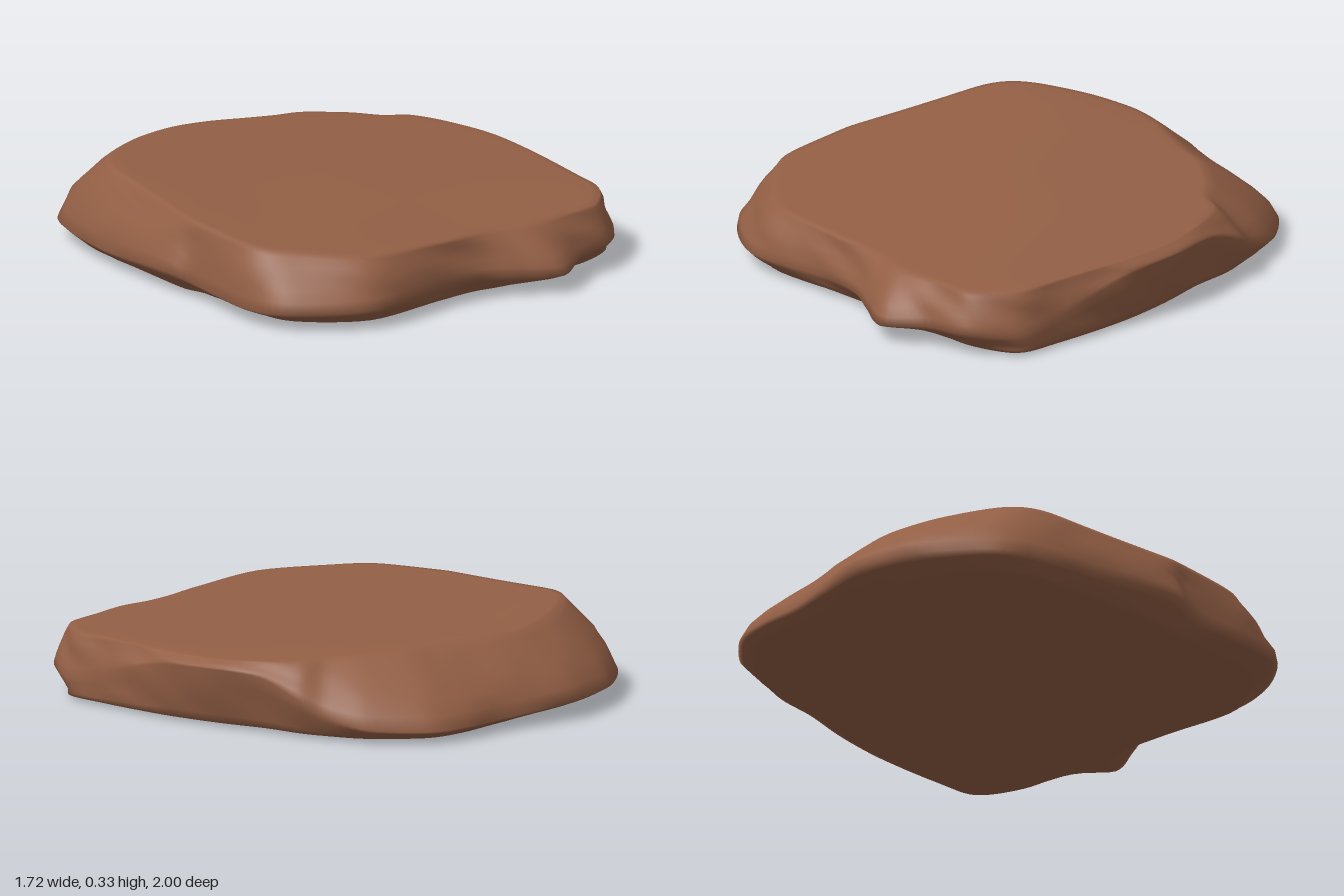
import * as THREE from 'three';

// Stone outline, clockwise from the back as seen from above:
// [x, z, height of widest point, inset of top rim, inset of bottom rim]
const OUTLINE = [
  [-0.07, -1.00, 0.07, 0.24, 0.14],
  [0.12, -0.95, 0.06, 0.23, 0.11],
  [0.30, -0.89, 0.05, 0.25, 0.07],
  [0.47, -0.855, 0.05, 0.29, 0.06],
  [0.62, -0.79, 0.05, 0.29, 0.06],
  [0.76, -0.60, 0.06, 0.24, 0.06],
  [0.80, -0.43, 0.10, 0.17, 0.05],
  [0.835, -0.33, 0.16, 0.11, 0.07],
  [0.835, -0.17, 0.22, 0.05, 0.07],
  [0.855, 0.05, 0.23, 0.04, 0.07],
  [0.82, 0.30, 0.21, 0.04, 0.04],
  [0.745, 0.60, 0.12, 0.04, 0.01],
  [0.70, 0.78, 0.09, 0.05, 0.02],
  [0.56, 0.91, 0.10, 0.06, 0.10],
  [0.38, 0.935, 0.09, 0.08, 0.13],
  [0.22, 1.00, 0.07, 0.15, 0.18],
  [0.08, 0.92, 0.08, 0.11, 0.12],
  [-0.04, 0.85, 0.09, 0.06, 0.08],
  [-0.22, 0.815, 0.09, 0.04, 0.06],
  [-0.58, 0.80, 0.08, 0.10, 0.08],
  [-0.82, 0.60, 0.07, 0.14, 0.10],
  [-0.86, 0.40, 0.06, 0.08, 0.11],
  [-0.81, 0.10, 0.07, 0.04, 0.08],
  [-0.83, -0.05, 0.10, 0.09, 0.09],
  [-0.75, -0.42, 0.07, 0.12, 0.08],
  [-0.68, -0.66, 0.07, 0.14, 0.07],
  [-0.58, -0.83, 0.07, 0.20, 0.08],
  [-0.32, -0.97, 0.07, 0.24, 0.12],
];
const SEGMENTS = 168;

// Gently twisted top: highest at the back left, rounding off behind
const topHeight = (x, z) =>
  0.289 - 0.045 * z - 0.02 * x + 0.02 * x * z - 0.35 * Math.max(0, -z - 0.58) ** 2
  + 0.003 * Math.sin(4 * x + 1) * Math.cos(3.5 * z);

// Shallow chipped unevenness for the sides
const chips = (x, y, z) =>
  0.008 * Math.sin(9 * x + 31 * y) * Math.cos(8 * z - 17 * y)
  + 0.004 * Math.sin(23 * x - 19 * z + 40 * y);

function slabGeometry() {
  const closed = (pick) => new THREE.CatmullRomCurve3(
    OUTLINE.map((p) => new THREE.Vector3(...pick(p))), true, 'catmullrom', 0.45);
  const edge = closed(([x, z, y]) => [x, y, z]);
  const insets = closed(([, , , top, bottom]) => [top, bottom, 0]);

  const rings = [];
  const addRing = (place) => {
    const ring = [];
    for (let i = 0; i < SEGMENTS; i++) {
      const p = edge.getPoint(i / SEGMENTS);
      const inset = insets.getPoint(i / SEGMENTS);
      const radius = Math.hypot(p.x, p.z);
      const inward = (d) => [p.x * (1 - d / radius), p.z * (1 - d / radius)];
      ring.push(place(p, inset.x, inset.y, inward));
    }
    rings.push(ring);
  };

  // Flat underside
  for (const s of [0, 0.5, 0.85, 0.97]) {
    addRing((p, top, bottom, inward) => {
      const [x, z] = inward(bottom);
      return [x * s, 0.012 * s ** 6, z * s];
    });
  }
  // Undercut up to the widest line
  for (const v of [1, 0.85, 0.6, 0.3, 0]) {
    addRing((p, top, bottom, inward) => {
      const y = THREE.MathUtils.lerp(p.y, 0.014, v);
      const [x, z] = inward(bottom * v ** 1.2 + (v < 1 ? chips(p.x, y, p.z) * v : 0));
      return [x, y, z];
    });
  }
  // Bulging sides up to the top rim
  for (const u of [0.2, 0.4, 0.6, 0.78, 0.92, 1]) {
    addRing((p, top, bottom, inward) => {
      const [rx, rz] = inward(top);
      const y = THREE.MathUtils.lerp(p.y, topHeight(rx, rz) - 0.004, u);
      const [x, z] = inward(top * u ** 1.5 + chips(p.x, y, p.z) * Math.sin(Math.PI * u));
      return [x, y, z];
    });
  }
  // Broad top face
  for (const s of [0.97, 0.92, 0.8, 0.6, 0.4, 0.2, 0]) {
    addRing((p, top, bottom, inward) => {
      const [x, z] = inward(top);
      return [x * s, topHeight(x * s, z * s) - 0.004 * s ** 20, z * s];
    });
  }

  const index = [];
  for (let r = 0; r < rings.length - 1; r++) {
    for (let i = 0; i < SEGMENTS; i++) {
      const j = (i + 1) % SEGMENTS;
      const a = r * SEGMENTS + i, b = r * SEGMENTS + j;
      const c = a + SEGMENTS, d = b + SEGMENTS;
      if (r < rings.length - 2) index.push(a, c, d);
      else index.push(a, c, b);
      if (r > 0 && r < rings.length - 2) index.push(a, d, b);
    }
  }
  const geometry = new THREE.BufferGeometry();
  geometry.setAttribute('position', new THREE.Float32BufferAttribute(rings.flat(2), 3));
  geometry.setIndex(index);
  geometry.computeVertexNormals();
  return geometry;
}

export function createModel() {
  const group = new THREE.Group();
  group.name = 'flatStone';
  const stone = new THREE.Mesh(slabGeometry(), new THREE.MeshStandardMaterial({ color: 0x935f45 }));
  stone.name = 'stoneSlab';
  group.add(stone);
  return group;
}
